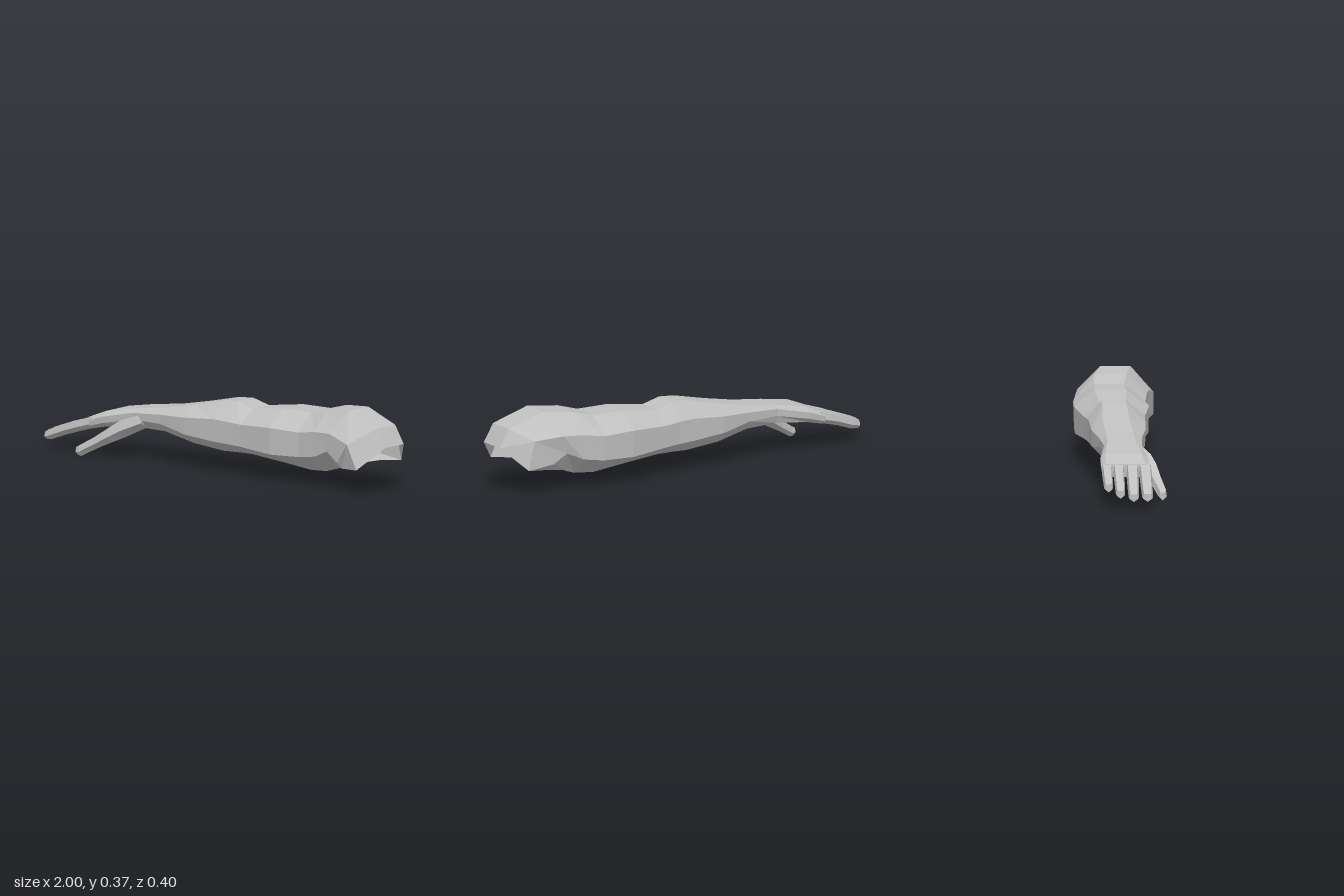
import * as THREE from 'three';

const skin = new THREE.MeshStandardMaterial({ color: 0xc0c0c0, flatShading: true, side: THREE.DoubleSide });
skin.name = 'plain grey';

// Skin a list of rings (equal point counts, ordered towards +x), optionally capping the ends
function loft(name, rings, capStart, capEnd) {
  const n = rings[0].length, index = [];
  for (let i = 0; i < rings.length - 1; i++) {
    for (let j = 0; j < n; j++) {
      const k = (j + 1) % n;
      const a = i * n + j, b = i * n + k, c = a + n, d = b + n;
      index.push(a, b, d, a, d, c);
    }
  }
  const last = (rings.length - 1) * n;
  for (let j = 1; j < n - 1; j++) {
    if (capStart) index.push(0, j + 1, j);
    if (capEnd) index.push(last, last + j, last + j + 1);
  }
  const geo = new THREE.BufferGeometry();
  geo.setAttribute('position', new THREE.Float32BufferAttribute(rings.flat(2), 3));
  geo.setIndex(index);
  geo.computeVertexNormals();
  const mesh = new THREE.Mesh(geo, skin);
  mesh.name = name;
  return mesh;
}

// Eight-sided section: top, upper side, lower side, bottom heights; then depths
function section([x, yt, yu, yl, yb, zFront, zTopF, zTopB, zBack]) {
  return [
    [x, yt, zTopF], [x, yu, zFront], [x, yl, zFront * 0.97], [x, yb, zTopF],
    [x, yb, zTopB], [x, yl, zBack * 0.98], [x, yu, zBack], [x, yt, zTopB],
  ];
}

// Five-sided section with a flat top and a ridge below
function digitSection([x, y, z, ry, rz]) {
  return [
    [x, y + ry, z + rz * 0.75], [x, y - ry * 0.2, z + rz], [x, y - ry, z],
    [x, y - ry * 0.2, z - rz], [x, y + ry, z - rz * 0.75],
  ];
}

export function createModel() {
  const arm = new THREE.Group();
  arm.name = 'arm';

  // Hand, wrist, forearm and upper arm
  const rings = [
    [-0.74, 0.172, 0.155, 0.130, 0.115, 0.128, 0.105, -0.080, -0.098],
    [-0.65, 0.208, 0.185, 0.155, 0.135, 0.118, 0.088, -0.078, -0.102],
    [-0.49, 0.236, 0.218, 0.185, 0.150, 0.095, 0.066, -0.066, -0.080],
    [-0.33, 0.256, 0.228, 0.185, 0.145, 0.098, 0.056, -0.070, -0.100],
    [-0.17, 0.287, 0.237, 0.158, 0.108, 0.120, 0.045, -0.078, -0.130],
    [0.00, 0.325, 0.250, 0.145, 0.090, 0.122, 0.036, -0.075, -0.137],
    [0.08, 0.331, 0.248, 0.143, 0.093, 0.123, 0.034, -0.078, -0.146],
    [0.17, 0.306, 0.244, 0.140, 0.094, 0.126, 0.036, -0.084, -0.160],
    [0.36, 0.330, 0.255, 0.130, 0.080, 0.150, 0.045, -0.100, -0.195],
    [0.52, 0.331, 0.250, 0.135, 0.062, 0.137, 0.040, -0.100, -0.195],
    [0.62, 0.358, 0.266, 0.150, 0.070, 0.145, 0.052, -0.095, -0.182],
  ].map(section);
  // Shoulder end: slanting rings that leave an open underside
  rings.push(
    [[0.77, 0.372, 0.075], [0.72, 0.270, 0.158], [0.70, 0.185, 0.150], [0.66, 0.082, 0.050],
      [0.66, 0.082, -0.092], [0.70, 0.185, -0.158], [0.73, 0.272, -0.170], [0.77, 0.372, -0.065]],
    [[0.945, 0.310, 0.091], [0.845, 0.238, 0.183], [0.77, 0.142, 0.165], [0.68, 0.090, 0.050],
      [0.68, 0.090, -0.090], [0.77, 0.142, -0.152], [0.87, 0.262, -0.147], [0.945, 0.310, -0.046]],
    [[0.995, 0.226, 0.091], [0.90, 0.124, 0.183], [0.78, 0.113, 0.140], [0.69, 0.095, 0.050],
      [0.69, 0.095, -0.088], [0.78, 0.113, -0.130], [0.90, 0.126, -0.146], [0.995, 0.226, -0.046]],
  );
  arm.add(loft('armAndPalm', rings, true, false));

  // Fingers: base depth, tip depth, tip x, tip height, half width
  const fingers = [
    ['indexFinger', 0.102, 0.107, -0.985, 0.058, 0.028],
    ['middleFinger', 0.043, 0.043, -1.0, 0.060, 0.027],
    ['ringFinger', -0.020, -0.017, -0.968, 0.070, 0.024],
    ['littleFinger', -0.074, -0.070, -0.912, 0.090, 0.023],
  ];
  for (const [name, z0, z1, tipX, tipY, w] of fingers) {
    const at = (t, ry, rz, lift) => digitSection([
      tipX + (-0.72 - tipX) * t, tipY + (0.148 - tipY) * t + lift, z1 + (z0 - z1) * t, ry, rz,
    ]);
    arm.add(loft(name, [
      at(0, 0.018, w * 0.75, 0), at(0.09, 0.025, w * 0.9, 0),
      at(0.5, 0.026, w, 0.004), at(1, 0.027, w * 1.05, 0),
    ], true, true));
  }

  // Thumb
  arm.add(loft('thumb', [
    [-0.745, 0.024, 0.182, 0.018, 0.015],
    [-0.725, 0.027, 0.182, 0.026, 0.020],
    [-0.650, 0.070, 0.157, 0.028, 0.025],
    [-0.580, 0.112, 0.131, 0.036, 0.034],
    [-0.530, 0.142, 0.100, 0.042, 0.044],
    [-0.440, 0.182, 0.056, 0.034, 0.038],
  ].map(digitSection), true, true));

  return arm;
}
